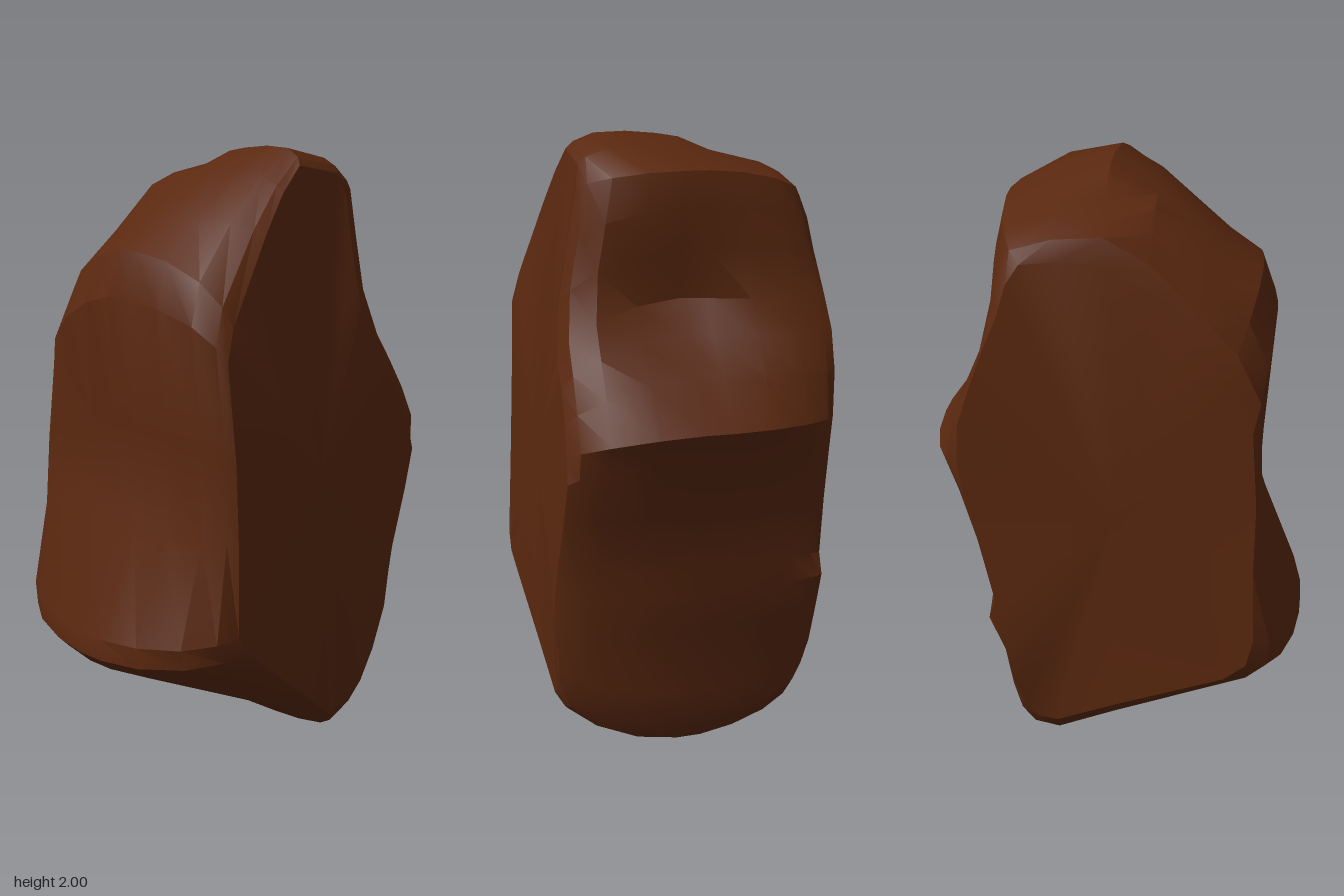
import * as THREE from 'three';
import { toCreasedNormals } from 'three/addons/utils/BufferGeometryUtils.js';

// Outlines (x, y), counter-clockwise from the bottom tip, matched point for point.
const FRONT = [
  0.08, 0.14, 0.16, 0.19, 0.22, 0.25, 0.27, 0.33, 0.3, 0.48, 0.32, 0.6, 0.34, 0.68, 0.41, 0.87, 0.45, 1.0,
  0.43, 1.08, 0.39, 1.17, 0.33, 1.27, 0.27, 1.35, 0.21, 1.5, 0.2, 1.68, 0.2, 1.85, 0.17, 1.92, 0.0, 1.95,
  -0.09, 1.87, -0.18, 1.76, -0.37, 1.5, -0.41, 1.4, -0.39, 1.1, -0.39, 0.85, -0.4, 0.56, -0.36, 0.5,
  -0.28, 0.43, -0.1, 0.29];
const MIDDLE = [
  0.2, 0.0, 0.31, 0.03, 0.35, 0.1, 0.36, 0.22, 0.39, 0.45, 0.42, 0.58, 0.42, 0.67, 0.47, 0.87, 0.54, 1.07,
  0.61, 1.16, 0.54, 1.3, 0.48, 1.41, 0.43, 1.52, 0.41, 1.67, 0.4, 1.8, 0.37, 1.91, 0.22, 1.99, 0.05, 2.03,
  -0.1, 1.95, -0.28, 1.8, -0.43, 1.7, -0.48, 1.56, -0.45, 1.15, -0.46, 0.85, -0.61, 0.5, -0.61, 0.43,
  -0.57, 0.39, 0.0, 0.12];
const BACK = [
  0.2, 0.16, 0.27, 0.17, 0.31, 0.24, 0.34, 0.34, 0.36, 0.48, 0.41, 0.6, 0.39, 0.67, 0.43, 0.87, 0.47, 1.04,
  0.49, 1.16, 0.48, 1.3, 0.44, 1.42, 0.4, 1.53, 0.35, 1.65, 0.32, 1.75, 0.28, 1.81, 0.17, 1.82, 0.03, 1.81,
  -0.1, 1.73, -0.21, 1.61, -0.33, 1.46, -0.42, 1.3, -0.44, 1.05, -0.44, 0.82, -0.45, 0.58, -0.43, 0.49,
  -0.36, 0.43, 0.0, 0.27];
const COUNT = FRONT.length / 2;

// Depth of the front and back faces at a given height: [y, z] steps.
const FRONT_DEPTH = [[0, 0.39], [0.14, 0.4], [0.5, 0.45], [1, 0.43], [1.4, 0.41], [1.95, 0.31]];
const BACK_DEPTH = [[0.1, -0.38], [0.25, -0.42], [0.45, -0.445], [1.1, -0.4], [1.42, -0.4], [1.85, -0.34]];
function depthAt(steps, y) {
  let k = 1;
  while (k < steps.length - 1 && y > steps[k][0]) k++;
  const [y0, z0] = steps[k - 1], [y1, z1] = steps[k];
  return THREE.MathUtils.lerp(z0, z1, THREE.MathUtils.clamp((y - y0) / (y1 - y0), 0, 1));
}

// Rings from front to back: end outline, blend towards the middle, share of the end depth.
const RINGS = [
  [FRONT, FRONT_DEPTH, 0, 1], [FRONT, FRONT_DEPTH, 0.3, 0.93], [FRONT, FRONT_DEPTH, 0.64, 0.74],
  [FRONT, FRONT_DEPTH, 0.9, 0.42], [MIDDLE, FRONT_DEPTH, 1, 0.1], [MIDDLE, BACK_DEPTH, 1, 0.12],
  [BACK, BACK_DEPTH, 0.88, 0.42], [BACK, BACK_DEPTH, 0.64, 0.72], [BACK, BACK_DEPTH, 0.34, 0.92],
  [BACK, BACK_DEPTH, 0, 1]];

function ringPoint([end, depth, blend, share], i) {
  let x = THREE.MathUtils.lerp(end[2 * i], MIDDLE[2 * i], blend);
  let y = THREE.MathUtils.lerp(end[2 * i + 1], MIDDLE[2 * i + 1], blend);
  let z = depthAt(depth, end[2 * i + 1]) * share;
  // The back face twists slightly with height.
  if (z < 0) z += 0.08 * x * (1 - y) * share;
  // The crown falls gently towards the back.
  y -= Math.max(0, 0.24 - z) * 0.17 * THREE.MathUtils.smoothstep(y, 1.9, 2);
  // Hollow in the upper side, above the ledge.
  if (x > 0.2 && blend > 0) x -= 0.12 * Math.exp(-(((z - 0.07) / 0.22) ** 2) - ((y - 1.5) / 0.25) ** 2);
  return [x, y, z];
}

function boulderGeometry() {
  const positions = [], index = [];
  for (const ring of RINGS) for (let i = 0; i < COUNT; i++) positions.push(...ringPoint(ring, i));
  // Walls between neighbouring rings
  for (let r = 0; r < RINGS.length - 1; r++) {
    for (let i = 0; i < COUNT; i++) {
      const j = (i + 1) % COUNT, a = r * COUNT, b = a + COUNT;
      index.push(a + i, b + i, a + j, a + j, b + i, b + j);
    }
  }
  // Broad front and back faces
  const last = (RINGS.length - 1) * COUNT, centre = RINGS.length * COUNT;
  positions.push(0, 1, 0.425, 0, 1, -0.41);
  for (let i = 0; i < COUNT; i++) {
    const j = (i + 1) % COUNT;
    index.push(centre, i, j, centre + 1, last + j, last + i);
  }
  const geometry = new THREE.BufferGeometry();
  geometry.setAttribute('position', new THREE.Float32BufferAttribute(positions, 3));
  geometry.setIndex(index);
  return toCreasedNormals(geometry, 0.45);
}

export function createModel() {
  const group = new THREE.Group();
  group.name = 'rock';
  const boulder = new THREE.Mesh(boulderGeometry(), new THREE.MeshStandardMaterial({ color: 0x5a280f }));
  boulder.name = 'boulder';
  group.add(boulder);
  return group;
}
